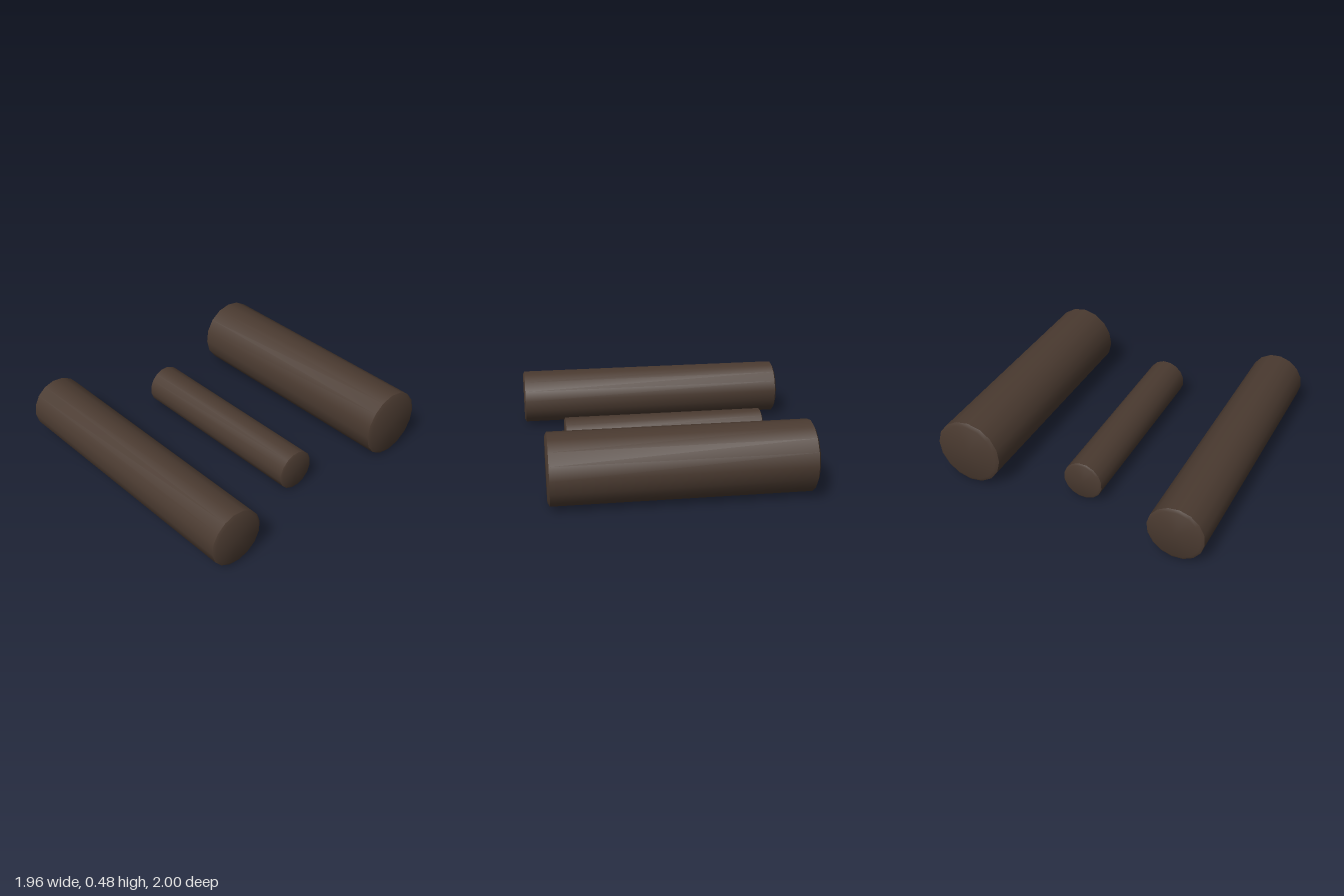
import * as THREE from 'three';
import { toCreasedNormals } from 'three/addons/utils/BufferGeometryUtils.js';

export function createModel() {
  const group = new THREE.Group();
  const bark = new THREE.MeshStandardMaterial({ color: 0x4a3a30 });
  bark.name = 'dark bark';

  // Log lying along x: flat ends, narrow bevel and a slightly uneven round section
  function addLog(name, { x0, x1, y, z, r, cap, bevel, phase }) {
    const profile = [
      [0, x0], [cap, x0], [r, x0 + bevel],
      [r, x1 - bevel], [cap, x1], [0, x1],
    ].map(([radius, along]) => new THREE.Vector2(radius, along));
    const geometry = new THREE.LatheGeometry(profile, 16, phase);
    geometry.rotateZ(-Math.PI / 2);
    const p = geometry.attributes.position;
    for (let i = 0; i < p.count; i++) {
      const a = Math.atan2(p.getZ(i), p.getY(i));
      const s = 1 + 0.008 * Math.sin(3 * a + phase * 9 + p.getX(i));
      p.setY(i, p.getY(i) * s);
      p.setZ(i, p.getZ(i) * s);
    }
    const log = new THREE.Mesh(toCreasedNormals(geometry, 0.6), bark);
    log.name = name;
    log.position.set(0, y, z);
    group.add(log);
  }

  addLog('frontLog', { x0: -0.98, x1: 0.98, y: 0.202, z: 0.803, r: 0.196, cap: 0.175, bevel: 0.012, phase: 0.1 });
  addLog('middleLog', { x0: -0.707, x1: 0.703, y: 0.148, z: 0.02, r: 0.14, cap: 0.126, bevel: 0.008, phase: 0.2 });
  addLog('backLog', { x0: -0.865, x1: 0.86, y: 0.238, z: -0.764, r: 0.237, cap: 0.211, bevel: 0.014, phase: 0.05 });

  return group;
}
